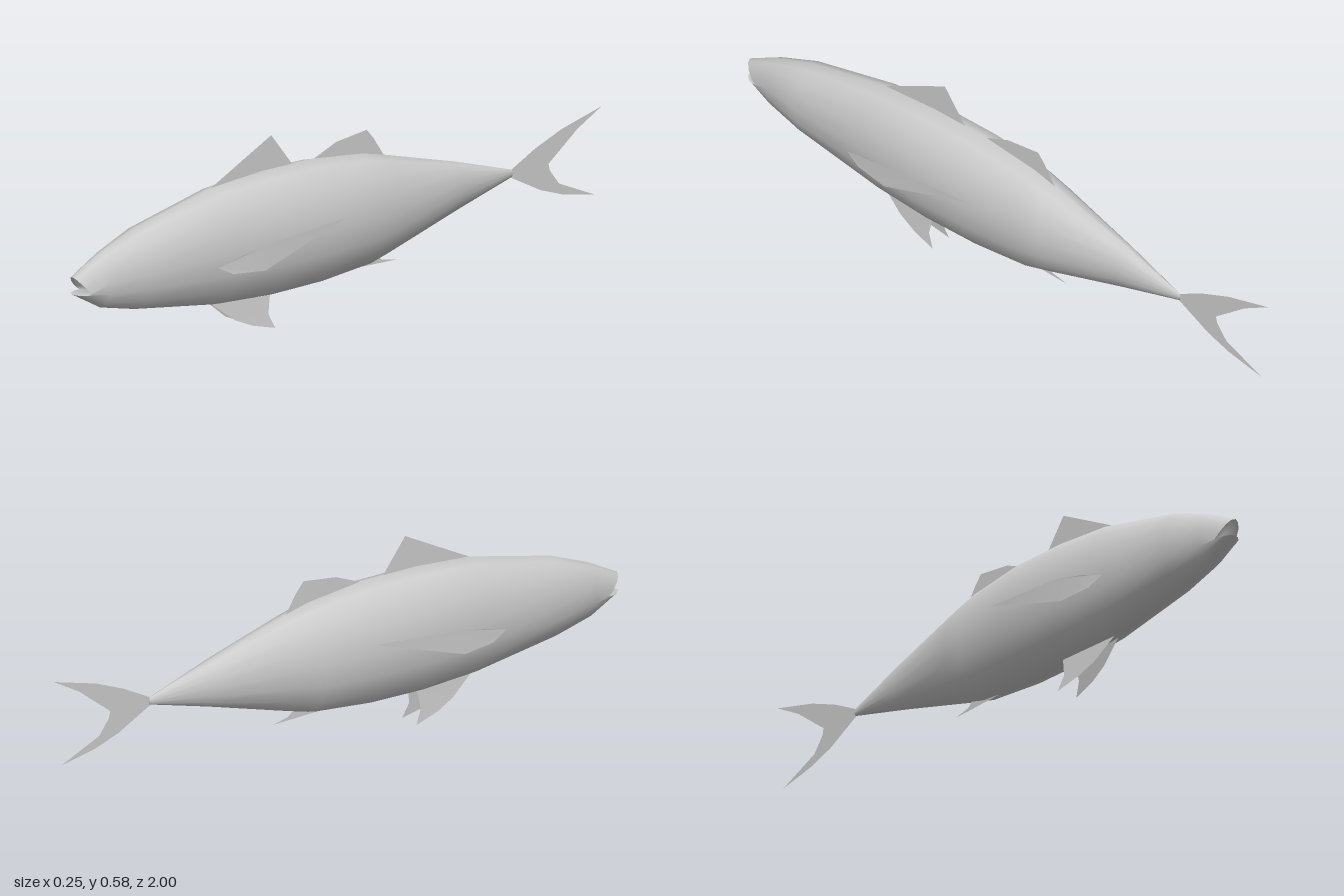
import * as THREE from 'three';

const SIDES = 16;

// Body stations from head to tail: z, top y, bottom y, half width
const STATIONS = [
  [0.89, 0.357, 0.19, 0.05],
  [0.76, 0.405, 0.157, 0.076],
  [0.47, 0.465, 0.108, 0.102],
  [0.28, 0.475, 0.094, 0.113],
  [0.09, 0.471, 0.094, 0.114],
  [-0.1, 0.446, 0.108, 0.102],
  [-0.18, 0.425, 0.128, 0.09],
  [-0.45, 0.345, 0.2, 0.043],
  [-0.66, 0.275, 0.252, 0.005],
];

const angle = (i) => (i / SIDES) * Math.PI * 2;

// Lip ring: swept back at the corners so the jaws part in a notch
function lipRing() {
  return Array.from({ length: SIDES }, (_, i) => {
    const s = Math.sin(angle(i)), c = Math.cos(angle(i));
    const y = c > 0 ? 0.247 + 0.058 * c ** 1.2 : 0.247 - 0.005 * c;
    return [0.035 * s, y, 0.94 + 0.055 * Math.abs(c)];
  });
}

function bodyRing([z, top, bottom, width]) {
  return Array.from({ length: SIDES }, (_, i) => [
    width * Math.sin(angle(i)),
    (top + bottom) / 2 + ((top - bottom) / 2) * Math.cos(angle(i)),
    z,
  ]);
}

// Skin over a list of rings, closed to a point at the end
function loft(rings, endPoint) {
  const index = [];
  const last = (rings.length - 1) * SIDES;
  for (let i = 0; i < SIDES; i++) {
    const j = (i + 1) % SIDES;
    for (let r = 0; r < last; r += SIDES) {
      index.push(r + i, r + j, r + SIDES + i, r + j, r + SIDES + j, r + SIDES + i);
    }
    index.push(last + i, last + j, rings.length * SIDES);
  }
  return geometryFrom([...rings.flat(), endPoint], index);
}

function geometryFrom(points, index) {
  const g = new THREE.BufferGeometry();
  g.setAttribute('position', new THREE.Float32BufferAttribute(points.flat(), 3));
  g.setIndex(index);
  g.computeVertexNormals();
  return g;
}

// Thin fin from an outline of [z, y, x] points (x defaults to the midline)
function fin(outline, mirror = 1) {
  const flat = outline.map(([z, y]) => new THREE.Vector2(z, y));
  const faces = THREE.ShapeUtils.triangulateShape(flat, []);
  return geometryFrom(outline.map(([z, y, x = 0]) => [x * mirror, y, z]), faces.flat());
}

export function createModel() {
  const group = new THREE.Group();
  const skin = new THREE.MeshStandardMaterial({ color: 0xcccccc });
  const thin = new THREE.MeshStandardMaterial({ color: 0xcccccc, side: THREE.DoubleSide });
  const add = (name, geometry, material = thin) => {
    const mesh = new THREE.Mesh(geometry, material);
    mesh.name = name;
    group.add(mesh);
  };

  // Body and mouth cavity
  add('body', loft([lipRing(), ...STATIONS.map(bodyRing)], [0, 0.263, -0.665]), skin);
  add('mouth', loft([lipRing()], [0, 0.25, 0.9]));

  // Fins along the midline
  add('frontDorsalFin', fin([[0.475, 0.463], [0.245, 0.577], [0.225, 0.55], [0.165, 0.47], [0.28, 0.465]]));
  add('rearDorsalFin', fin([[0.09, 0.468], [0, 0.503], [-0.115, 0.515], [-0.14, 0.485], [-0.18, 0.423], [-0.1, 0.435]]));
  add('analFin', fin([[0, 0.105], [-0.1, 0.1], [-0.225, 0.094], [-0.17, 0.107], [-0.15, 0.125], [-0.08, 0.115]]));
  add('tailFin', fin([
    [-0.655, 0.272], [-0.75, 0.32], [-0.85, 0.358], [-1, 0.395], [-0.91, 0.346], [-0.85, 0.3],
    [-0.8, 0.262], [-0.805, 0.24], [-0.84, 0.193], [-0.975, 0.13], [-0.85, 0.158], [-0.77, 0.188], [-0.655, 0.252],
  ]));

  // Paired fins
  for (const [side, m] of [['left', 1], ['right', -1]]) {
    add(side + 'PectoralFin', fin([
      [0.53, 0.258, 0.104], [0.45, 0.28, 0.114], [0.345, 0.3, 0.124],
      [0.06, 0.315, 0.117], [0.37, 0.222, 0.124], [0.48, 0.232, 0.112],
    ], m));
    add(side + 'PelvicFin', fin([
      [0.475, 0.11, 0.008], [0.4, 0.05, 0.02], [0.34, 0.022, 0.028], [0.26, 0, 0.036],
      [0.28, 0.045, 0.029], [0.27, 0.1, 0.024],
    ], m));
  }
  return group;
}
